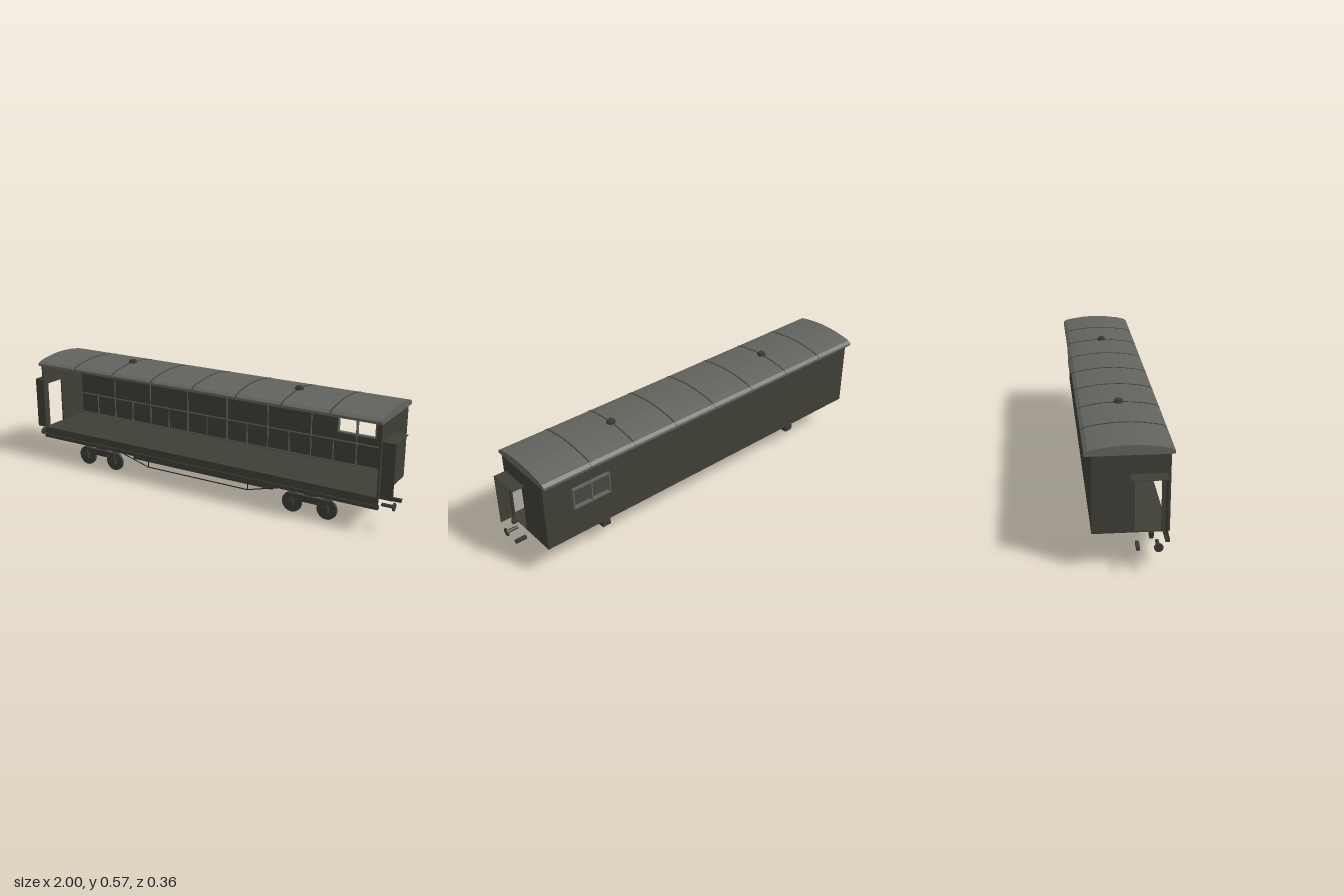
import * as THREE from 'three';

const mat = (name, color, side = THREE.FrontSide) => {
  const m = new THREE.MeshStandardMaterial({ color, side });
  m.name = name;
  return m;
};

export function createModel() {
  const body = mat('dark olive body', 0x3f3e36, THREE.DoubleSide);
  const grey = mat('roof grey', 0x62625e);
  const iron = mat('iron', 0x3a3a36);
  const black = mat('black rod', 0x20201e);

  const model = new THREE.Group();
  model.name = 'railwayCoach';

  const add = (name, geo, material, parent = model) => {
    const mesh = new THREE.Mesh(geo, material);
    mesh.name = name;
    parent.add(mesh);
    return mesh;
  };
  // Box given by its limits on each axis
  const box = (name, material, x0, x1, y0, y1, z0, z1, parent) => {
    const mesh = add(name, new THREE.BoxGeometry(x1 - x0, y1 - y0, z1 - z0), material, parent);
    mesh.position.set((x0 + x1) / 2, (y0 + y1) / 2, (z0 + z1) / 2);
  };
  // Extrusion along x of a (z, y) outline
  const extrudeX = (name, material, points, x0, x1) => {
    const shape = new THREE.Shape(points.map(([z, y]) => new THREE.Vector2(-z, y)));
    const geo = new THREE.ExtrudeGeometry(shape, { depth: x1 - x0, bevelEnabled: false });
    geo.rotateY(Math.PI / 2);
    geo.translate(x0, 0, 0);
    add(name, geo, material);
  };
  const cylinder = (name, material, r, length, axis, x, y, z, parent) => {
    const geo = new THREE.CylinderGeometry(r, r, length, 24);
    if (axis === 'x') geo.rotateZ(Math.PI / 2);
    if (axis === 'z') geo.rotateX(Math.PI / 2);
    const mesh = add(name, geo, material, parent);
    mesh.position.set(x, y, z);
  };

  // Curved roof with closed ends
  const half = [[0.18, 0.51], [0.18, 0.522], [0.165, 0.533], [0.13, 0.541], [0.07, 0.549], [0.03, 0.552]];
  const mirrored = half.map(([z, y]) => [-z, y]).reverse();
  extrudeX('roof', grey, [...half, ...mirrored], -0.945, 0.945);

  // Dark joints across the roof
  const jointOuter = [...half, ...mirrored].slice(1, -1).map(([z, y]) => [z, y + 0.0015]);
  const jointInner = jointOuter.map(([z, y]) => [z, y - 0.005]).reverse();
  for (let i = -3; i <= 3; i++) {
    const x = i * 0.235;
    extrudeX('roofJoint', body, [...jointOuter, ...jointInner], x - 0.003, x + 0.003);
  }

  // Roof ventilators
  for (const x of [-0.47, 0.47]) {
    cylinder('ventilatorBase', iron, 0.021, 0.008, 'y', x, 0.556, 0);
    cylinder('ventilatorCap', iron, 0.015, 0.008, 'y', x, 0.563, 0);
  }

  // Back wall with its window opening
  const rect = (T, x0, x1, y0, y1) => new T([[x0, y0], [x1, y0], [x1, y1], [x0, y1]]
    .map((p) => new THREE.Vector2(...p)));
  const wall = rect(THREE.Shape, -0.94, 0.94, 0.17, 0.512);
  wall.holes.push(rect(THREE.Path, 0.607, 0.8, 0.325, 0.43));
  const wallGeo = new THREE.ExtrudeGeometry(wall, { depth: 0.004, bevelEnabled: false });
  wallGeo.translate(0, 0, -0.152);
  add('backWall', wallGeo, body);

  // Projecting window frame
  for (const x of [0.607, 0.702, 0.797]) {
    box('windowUpright', grey, x - 0.003, x + 0.003, 0.325, 0.43, -0.166, -0.147);
  }
  for (const y of [0.327, 0.428]) {
    box('windowRail', grey, 0.604, 0.8, y - 0.003, y + 0.003, -0.166, -0.147);
  }

  // Thin beading on the inside of the back wall
  const bead = (x0, x1, y0, y1) => box('wallBeading', grey, x0, x1, y0, y1, -0.148, -0.145);
  for (const y of [0.177, 0.286]) bead(-0.935, 0.935, y - 0.003, y + 0.003);
  bead(-0.935, 0.935, 0.475, 0.48);
  for (let i = -3; i <= 3; i++) {
    const x = i * 0.235;
    if (i < 3) bead(x - 0.003, x + 0.003, 0.289, 0.51);
    else {
      bead(x - 0.003, x + 0.003, 0.289, 0.325);
      bead(x - 0.003, x + 0.003, 0.43, 0.51);
    }
  }
  for (let i = -7; i <= 7; i++) bead(i * 0.1175 - 0.003, i * 0.1175 + 0.003, 0.18, 0.283);
  box('wallBracket', grey, 0.141, 0.157, 0.45, 0.488, -0.145, -0.135);

  // Floor, side sill and lower rail
  box('floor', body, -0.94, 0.94, 0.168, 0.172, -0.152, 0.16);
  const sill = add('sill', new THREE.PlaneGeometry(1.88, 0.052), body);
  sill.position.set(0, 0.146, 0.16);
  box('lowerRail', body, -0.94, 0.94, 0.117, 0.135, 0.149, 0.166);

  // Parts repeated at both ends
  for (const s of [-1, 1]) {
    const span = (a, b) => (s > 0 ? [a, b] : [-b, -a]);
    // End wall with doorway
    extrudeX('endWall', body, [
      [0.165, 0.171], [0.165, 0.512], [-0.152, 0.512], [-0.152, 0.171],
      [0.022, 0.171], [0.022, 0.405], [0.13, 0.405], [0.13, 0.171],
    ], ...span(0.932, 0.94));
    // Gangway screen and hood
    box('gangwayScreen', body, ...span(0.938, 1), 0.165, 0.425, 0.146, 0.149);
    box('gangwayHood', body, ...span(0.938, 1), 0.423, 0.426, 0, 0.149);
    // Round end bumper and coupling
    cylinder('bumperShank', iron, 0.008, 0.055, 'x', s * 0.967, 0.126, 0.113);
    cylinder('bumperHead', iron, 0.019, 0.006, 'x', s * 0.996, 0.126, 0.113);
    box('coupling', iron, ...span(0.945, 1), 0.118, 0.133, 0.023, 0.038);

    // Bogie
    const bogie = new THREE.Group();
    bogie.name = 'bogie';
    bogie.position.x = s * 0.598;
    model.add(bogie);
    box('bolster', iron, -0.022, 0.022, 0.087, 0.117, -0.105, 0.135, bogie);
    box('sideFrame', iron, -0.1, 0.1, 0.087, 0.1, 0.133, 0.148, bogie);
    box('springPlank', iron, -0.055, 0.055, 0.068, 0.087, 0.133, 0.146, bogie);
    for (const x of [-0.088, 0.088]) {
      cylinder('wheel', iron, 0.049, 0.014, 'z', x, 0.049, 0.123, bogie);
      box('axleBox', iron, x - 0.014, x + 0.014, 0.037, 0.064, 0.13, 0.148, bogie);
      box('axleGuard', iron, x - 0.006, x + 0.006, 0.064, 0.09, 0.135, 0.146, bogie);
    }
  }

  // Equipment box under the floor
  box('underfloorBox', body, -0.4, 0.4, 0.078, 0.117, -0.047, 0.112);

  // Truss rod and its posts
  const truss = [[-0.49, 0.122], [-0.285, 0.066], [0.285, 0.066], [0.49, 0.122]];
  const rod = (name, a, b) => {
    const path = new THREE.LineCurve3(new THREE.Vector3(...a, 0.145), new THREE.Vector3(...b, 0.145));
    add(name, new THREE.TubeGeometry(path, 1, 0.0025, 6), black);
  };
  for (let i = 0; i < 3; i++) rod('trussRod', truss[i], truss[i + 1]);
  for (const x of [-0.285, 0.285]) rod('trussPost', [x, 0.066], [x, 0.12]);

  return model;
}
